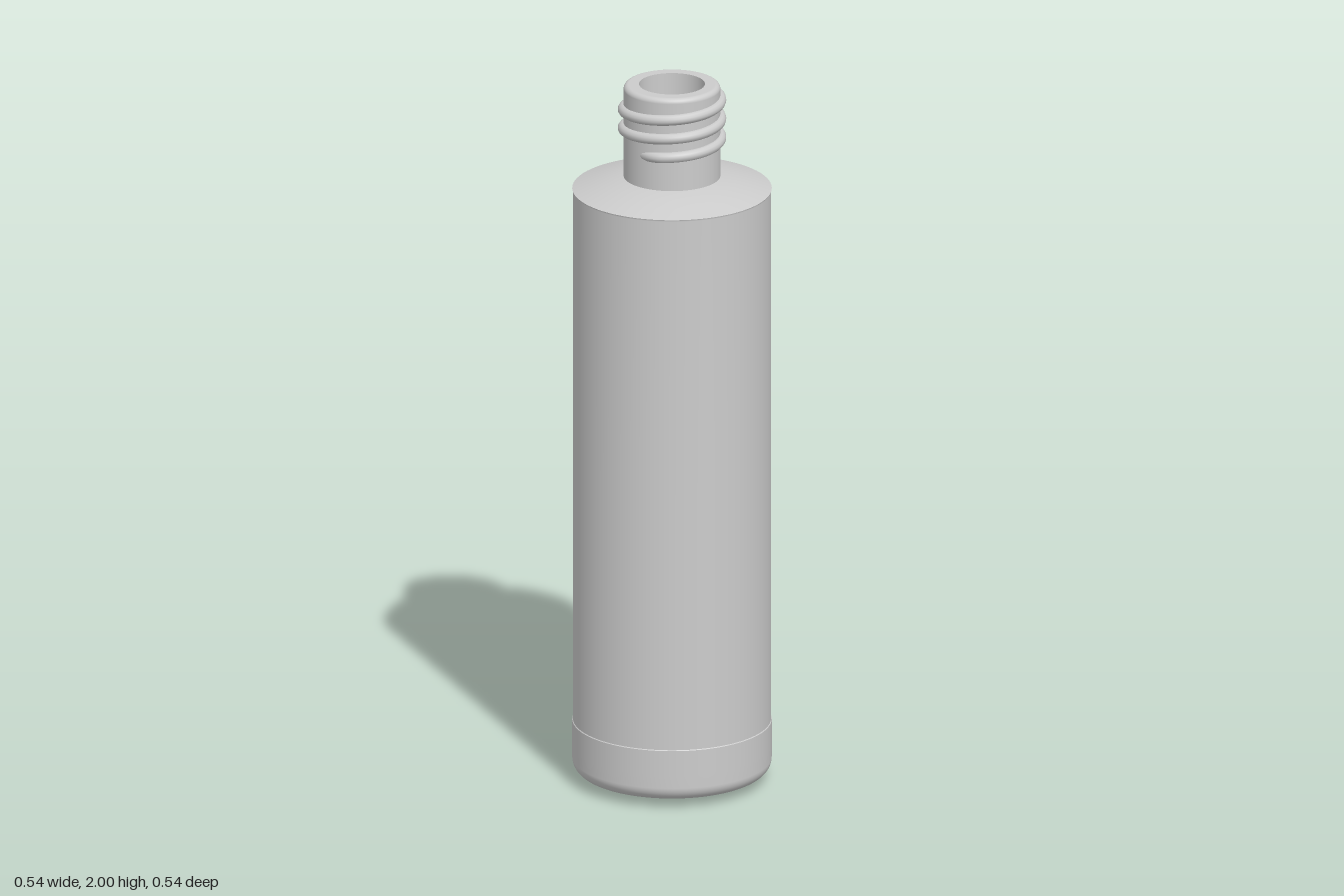
import * as THREE from 'three';

const R = 0.272, NECK = 0.132, BORE = 0.09;
const material = new THREE.MeshStandardMaterial({ color: 0xcccccc });

// Smooth surface of revolution; profile runs up the outside and down the inside
function turned(name, points) {
  const pts = points.map(([r, y]) => new THREE.Vector2(r, y));
  const mesh = new THREE.Mesh(new THREE.LatheGeometry(pts, 96), material);
  mesh.name = name;
  return mesh;
}

// Points along an arc in the profile plane
function arc(cx, cy, r, from, to, steps = 10) {
  return Array.from({ length: steps + 1 }, (_, i) => {
    const a = from + (to - from) * i / steps;
    return [Math.max(0, cx + r * Math.cos(a)), cy + r * Math.sin(a)];
  });
}

// Rising right-handed helix whose ends sink into the neck wall
class ThreadCurve extends THREE.Curve {
  getPoint(t, target = new THREE.Vector3()) {
    const turns = 2.9, u = t * turns;
    const fade = THREE.MathUtils.smoothstep(Math.min(u, turns - u), 0, 0.12);
    const r = NECK - 0.02 + 0.021 * fade;
    const a = u * Math.PI * 2;
    return target.set(r * Math.sin(a), 1.825 + 0.054 * u, r * Math.cos(a));
  }
}

export function createModel() {
  const bottle = new THREE.Group();
  bottle.name = 'bottle';

  // Slightly domed underside, rounded heel and base band
  bottle.add(turned('base', [
    [0, 0], [0.08, 0.004], [0.16, 0.012],
    ...arc(R - 0.04, 0.062, 0.04, -1.45, 0),
    [R, 0.1], [R, 0.17],
  ]));
  bottle.add(turned('baseBandEdge', [[R, 0.17], [R - 0.002, 0.172]]));

  // Straight wall up to the crisp shoulder edge
  bottle.add(turned('body', [[R - 0.002, 0.172], [R - 0.002, 0.9], [R - 0.002, 1.695], [R, 1.7]]));

  // Shallow sloping shoulder
  bottle.add(turned('shoulder', [[R, 1.7], [0.225, 1.715], [0.18, 1.727], [0.15, 1.733], [NECK, 1.736]]));

  // Neck with a rounded outer lip
  bottle.add(turned('neck', [
    [NECK, 1.734], [NECK, 1.85],
    ...arc(NECK - 0.014, 1.986, 0.014, 0, Math.PI / 2),
    [BORE, 2],
  ]));

  // Inner bore with a round bottom
  bottle.add(turned('bore', [
    [BORE, 2], [BORE, 1], [BORE, 0.2],
    ...arc(0, 0.18, BORE, 0, -Math.PI / 2),
  ]));

  // Screw thread
  const thread = new THREE.Mesh(new THREE.TubeGeometry(new ThreadCurve(), 280, 0.015, 12), material);
  thread.name = 'screwThread';
  bottle.add(thread);

  return bottle;
}
